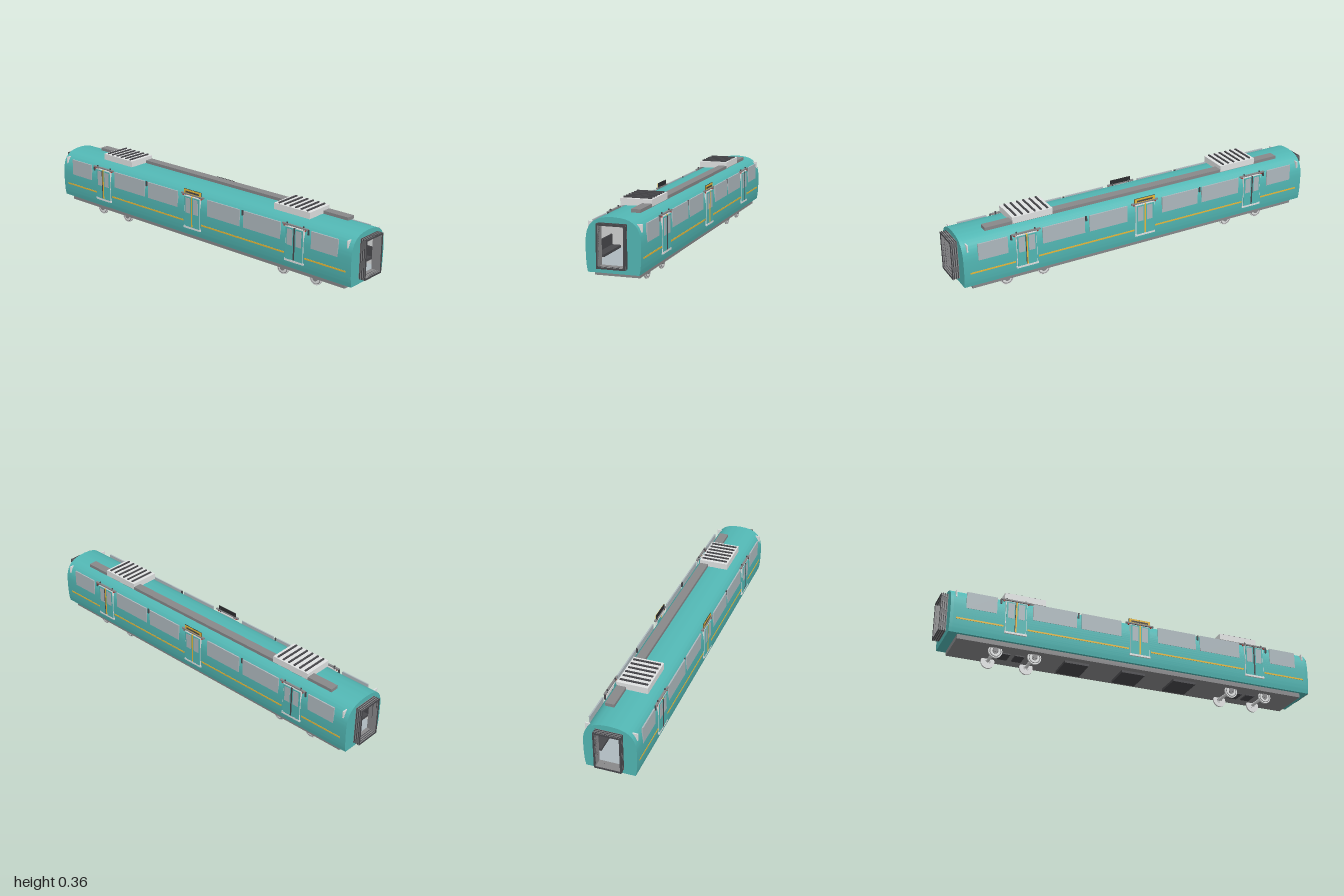
import * as THREE from 'three';
import { toCreasedNormals } from 'three/addons/utils/BufferGeometryUtils.js';

const mat = (name, color) => {
  const m = new THREE.MeshStandardMaterial({ color });
  m.name = name;
  return m;
};

export function createModel() {
  const root = new THREE.Group();
  root.name = 'railCar';
  const teal = mat('teal paint', 0x52b7b4);
  const light = mat('light grey', 0xe0e2e2);
  const glass = mat('window grey', 0xaeb9be);
  const mid = mat('mid grey', 0x88888a);
  const dark = mat('dark grey', 0x48484c);
  const black = mat('near black', 0x2c2c2e);
  const yellow = mat('yellow', 0xe8b93a);
  const red = mat('lamp red', 0xb83a34);

  const add = (name, geo, m, x = 0, y = 0, z = 0, parent = root) => {
    const mesh = new THREE.Mesh(geo, m);
    mesh.name = name;
    mesh.position.set(x, y, z);
    parent.add(mesh);
    return mesh;
  };
  // Box given by its limits on each axis
  const box = (name, m, x0, x1, y0, y1, z0, z1, parent = root) =>
    add(name, new THREE.BoxGeometry(Math.abs(x1 - x0), y1 - y0, Math.abs(z1 - z0)), m,
      (x0 + x1) / 2, (y0 + y1) / 2, (z0 + z1) / 2, parent);
  const rect = (w, y0, y1, path) => {
    path.moveTo(-w, y0); path.lineTo(w, y0); path.lineTo(w, y1); path.lineTo(-w, y1); path.closePath();
    return path;
  };
  const extrude = (name, shape, m, z0, z1) => {
    const g = new THREE.ExtrudeGeometry(shape, { depth: z1 - z0, bevelEnabled: false });
    return add(name, toCreasedNormals(g, 0.6), m, 0, 0, z0);
  };

  // Rounded body section, mirrored about the middle
  const half = new THREE.CatmullRomCurve3([
    [0.119, 0.072], [0.124, 0.1], [0.127, 0.14], [0.128, 0.19], [0.126, 0.23], [0.12, 0.257],
    [0.107, 0.283], [0.085, 0.302], [0.05, 0.315], [0, 0.32],
  ].map(([x, y]) => new THREE.Vector3(x, y, 0))).getPoints(36);
  const outline = half.concat(half.slice(0, -1).reverse().map(p => new THREE.Vector3(-p.x, p.y, 0)))
    .map(p => new THREE.Vector2(p.x, p.y));
  const bodyShape = hole => {
    const s = new THREE.Shape(outline);
    s.holes.push(hole);
    return s;
  };
  const cabin = (d, target) => {
    const pts = [[-0.116, 0.094], [0.116, 0.094], [0.116, 0.25], [0.08, 0.293], [-0.08, 0.293], [-0.116, 0.25]];
    return target.setFromPoints(pts.map(([x, y]) =>
      new THREE.Vector2(x - Math.sign(x) * d, y + (y < 0.2 ? d : -d))));
  };
  extrude('bodyShell', bodyShape(cabin(0, new THREE.Path())), teal, -0.95, 0.95);
  const lining = cabin(0, new THREE.Shape());
  lining.holes.push(cabin(0.004, new THREE.Path()));
  extrude('interiorLining', lining, light, -0.95, 0.95);
  box('floor', glass, -0.111, 0.111, 0.097, 0.1, -0.95, 0.95);

  // End walls and ribbed gangways
  for (const s of [1, -1]) {
    const span = (a, b) => (s > 0 ? [a, b] : [-b, -a]);
    extrude('endWall', bodyShape(rect(0.06, 0.1, 0.29, new THREE.Path())), teal, ...span(0.95, 0.965));
    const frame = (name, m, o, a, b) => {
      const f = rect(0.066 - o, 0.097 + o, 0.294 - o, new THREE.Shape());
      f.holes.push(rect(0.059, 0.105, 0.286, new THREE.Path()));
      extrude(name, f, m, ...span(a, b));
    };
    frame('gangwayCore', mid, 0.002, 0.95, 0.997);
    for (let i = 0; i < 3; i++) frame('gangwayRib', dark, 0, 0.969 + i * 0.01, 0.973 + i * 0.01);
    frame('gangwayFace', dark, 0, 0.997, 1);
  }

  // Interior benches, poles and handrails
  for (const s of [1, -1]) {
    for (const [z, l] of [[-0.82, 0.1], [-0.32, 0.24], [0.32, 0.24], [0.82, 0.1]]) {
      box('benchSeat', dark, s * 0.062, s * 0.111, 0.13, 0.142, z - l, z + l);
      box('benchBack', dark, s * 0.104, s * 0.111, 0.142, 0.19, z - l, z + l);
    }
    const rail = add('handrail', new THREE.CylinderGeometry(0.002, 0.002, 1.7, 8), dark, s * 0.05, 0.275, 0);
    rail.rotation.x = Math.PI / 2;
    for (const z of [-0.55, 0, 0.55]) {
      add('grabPole', new THREE.CylinderGeometry(0.0012, 0.0012, 0.05, 8), dark, s * 0.054, 0.217, z);
      const strap = add('railBracket', new THREE.BoxGeometry(0.004, 0.014, 0.01), dark, s * 0.049, 0.276, z);
      strap.rotation.z = s * 0.5;
      const brace = add('poleBrace', new THREE.CylinderGeometry(0.001, 0.001, 0.015, 8), dark, s * 0.005, 0.281, z);
      brace.rotation.z = -s * 0.8;
    }
  }
  for (const z of [-0.645, 0, 0.645])
    add('centrePole', new THREE.CylinderGeometry(0.0012, 0.0012, 0.19, 8), dark, 0, 0.194, z);

  // Sides: windows, stripes and doors
  const windows = [[0.74, 0.89], [0.335, 0.56], [0.1, 0.31]];
  const stripes = [[0.705, 0.935], [0.06, 0.585]];
  for (const s of [1, -1]) {
    const side = new THREE.Group();
    side.name = s > 0 ? 'leftSide' : 'rightSide';
    root.add(side);
    const sb = (name, m, x0, x1, y0, y1, z0, z1) => box(name, m, s * x0, s * x1, y0, y1, z0, z1, side);
    for (const e of [1, -1]) {
      for (const [a, b] of windows) sb('windowPane', glass, 0.1225, 0.1292, 0.203, 0.288, e * a, e * b);
      for (const [a, b] of stripes) sb('yellowStripe', yellow, 0.124, 0.1287, 0.14, 0.148, e * a, e * b);
      sb('cornerFin', light, 0.1, 0.125, 0.256, 0.292, e * 0.936, e * 0.942);
      for (const z of [0.325, 0.72]) {
        sb('windowBracket', dark, 0.12, 0.126, 0.262, 0.288, e * z - 0.004, e * z + 0.004);
      }
    }
    for (const z of [-0.645, 0, 0.645]) {
      sb('doorFrame', light, 0.12, 0.1292, 0.112, 0.28, z - 0.053, z + 0.053);
      sb('doorSill', light, 0.12, 0.1325, 0.108, 0.118, z - 0.056, z + 0.056);
      for (const e of [1, -1]) {
        sb('doorLeaf', teal, 0.12, 0.132, 0.118, 0.276, z + e * 0.002, z + e * 0.05);
        sb('doorWindow', glass, 0.128, 0.1328, 0.19, 0.27, z + e * 0.01, z + e * 0.042);
        sb('doorHanger', dark, 0.12, 0.126, 0.276, 0.298, z + e * 0.045, z + e * 0.05);
        sb('doorLamp', red, 0.122, 0.1295, 0.277, 0.283, z + e * 0.058, z + e * 0.064);
      }
      // Seam strips; the leading doors have a ridge beside the yellow
      sb('doorSeam', z * s >= 0 ? yellow : dark, 0.12, 0.1327, 0.12, 0.28, z - 0.004, z + 0.004);
      if (z * s > 0) sb('doorRidge', dark, 0.128, 0.136, 0.12, 0.276, z + s * 0.004, z + s * 0.006);
      sb('doorRail', mid, 0.12, 0.13, 0.284, 0.291, z - 0.075, z + 0.075);
    }
    // Destination board above the middle door
    sb('signCase', black, 0.1225, 0.1255, 0.284, 0.313, -0.058, 0.058);
    sb('signFace', yellow, 0.1255, 0.127, 0.286, 0.312, -0.057, 0.057);
    sb('signPanel', dark, 0.127, 0.1274, 0.2945, 0.3035, -0.045, 0.045);
  }

  // Roof duct and cooling units
  box('roofDuct', mid, 0.03, 0.075, 0.317, 0.333, -0.83, 0.83);
  for (const z of [-0.585, 0.585]) {
    box('coolingUnit', light, -0.076, 0.076, 0.319, 0.351, z - 0.105, z + 0.105);
    for (let i = 0; i < 6; i++) {
      const c = z + (i - 2.5) * 0.033;
      box('coolingSlat', dark, -0.068, 0.068, 0.35, 0.357, c - 0.004, c + 0.004);
    }
  }

  // Underframe and equipment
  box('underframe', mid, -0.105, 0.105, 0.049, 0.074, -0.92, 0.92);
  for (const z of [-0.31, -0.01, 0.27]) box('equipmentBox', dark, -0.07, 0.07, 0.037, 0.05, z - 0.062, z + 0.062);
  for (const z of [-0.625, 0.63])
    for (const e of [1, -1]) box('bogieBlock', dark, -0.035, 0.035, 0.043, 0.05, z + e * 0.012, z + e * 0.06);

  // Wheelsets
  const wheelGeo = new THREE.CylinderGeometry(0.034, 0.034, 0.01, 32).rotateZ(Math.PI / 2);
  const hubGeo = new THREE.CylinderGeometry(0.014, 0.014, 0.014, 24).rotateZ(Math.PI / 2);
  const axleGeo = new THREE.CylinderGeometry(0.008, 0.008, 0.13, 20).rotateZ(Math.PI / 2);
  const rimGeo = new THREE.TorusGeometry(0.027, 0.002, 8, 32).rotateY(Math.PI / 2);
  for (const z of [-0.722, -0.527, 0.535, 0.73]) {
    add('axle', axleGeo, light, 0, 0.038, z);
    for (const s of [1, -1]) {
      add('wheel', wheelGeo, light, s * 0.066, 0.034, z);
      add('wheelRim', rimGeo, mid, s * 0.071, 0.034, z);
      add('wheelHub', hubGeo, mid, s * 0.068, 0.034, z);
      box('axleBracket', mid, s * 0.073, s * 0.077, 0.03, 0.052, z - 0.012, z + 0.012);
    }
  }
  return root;
}
